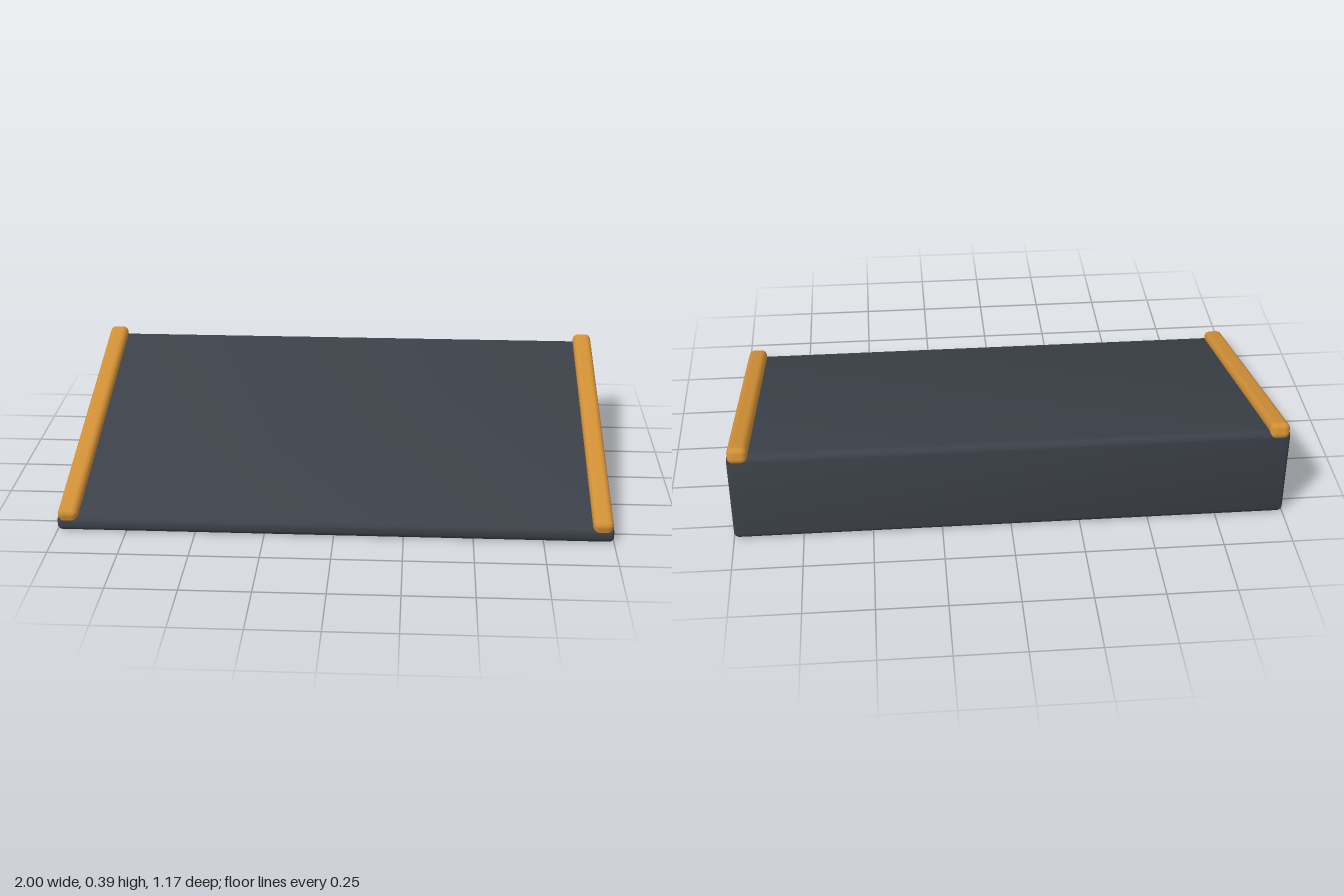
import * as THREE from 'three';
import { RoundedBoxGeometry } from 'three/addons/geometries/RoundedBoxGeometry.js';
import { toCreasedNormals } from 'three/addons/utils/BufferGeometryUtils.js';

const SLOPE = THREE.MathUtils.degToRad(15);
const MID_HEIGHT = 0.207; // height of the sloping surface at z = 0
const HALF_WIDTH = 1.0;
const HALF_DEPTH = 0.58;

// Side profile with rounded corners: x is depth (front positive), y is up
function wedgeProfile(radius) {
  const u = HALF_DEPTH - radius;
  const topY = (d) => MID_HEIGHT - Math.tan(SLOPE) * d - radius / Math.cos(SLOPE);
  const up = Math.PI / 2 - SLOPE;
  const corners = [
    [u, radius, -Math.PI / 2, 0],
    [u, topY(u), 0, up],
    [-u, topY(-u), up, Math.PI],
    [-u, radius, Math.PI, Math.PI * 1.5],
  ];
  const points = [];
  const steps = 5;
  for (const [cx, cy, from, to] of corners) {
    for (let i = 0; i <= steps; i++) {
      const a = from + ((to - from) * i) / steps;
      points.push(new THREE.Vector2(cx + radius * Math.cos(a), cy + radius * Math.sin(a)));
    }
  }
  return new THREE.Shape(points);
}

export function createModel() {
  const group = new THREE.Group();
  const dark = new THREE.MeshStandardMaterial({ color: 0x3c4149 });
  const amber = new THREE.MeshStandardMaterial({ color: 0xd08f35 });

  // Wedge body, extruded across the width with softened side edges
  const bevel = 0.018;
  const depth = 2 * (HALF_WIDTH - bevel);
  const geometry = new THREE.ExtrudeGeometry(wedgeProfile(0.022), {
    depth,
    bevelEnabled: true,
    bevelThickness: bevel,
    bevelSize: bevel,
    bevelOffset: -bevel,
    bevelSegments: 4,
  });
  geometry.translate(0, 0, -depth / 2);
  geometry.rotateY(-Math.PI / 2);
  const body = new THREE.Mesh(toCreasedNormals(geometry, 0.6), dark);
  body.name = 'rampBody';
  group.add(body);

  // Rounded rails lying along both edges of the slope
  for (const side of [-1, 1]) {
    const rail = new THREE.Mesh(new RoundedBoxGeometry(0.072, 0.06, 1.204, 4, 0.022), amber);
    rail.position.set(side * 0.96, MID_HEIGHT, 0);
    rail.rotation.x = SLOPE;
    rail.name = side > 0 ? 'leftRail' : 'rightRail';
    group.add(rail);
  }
  return group;
}
